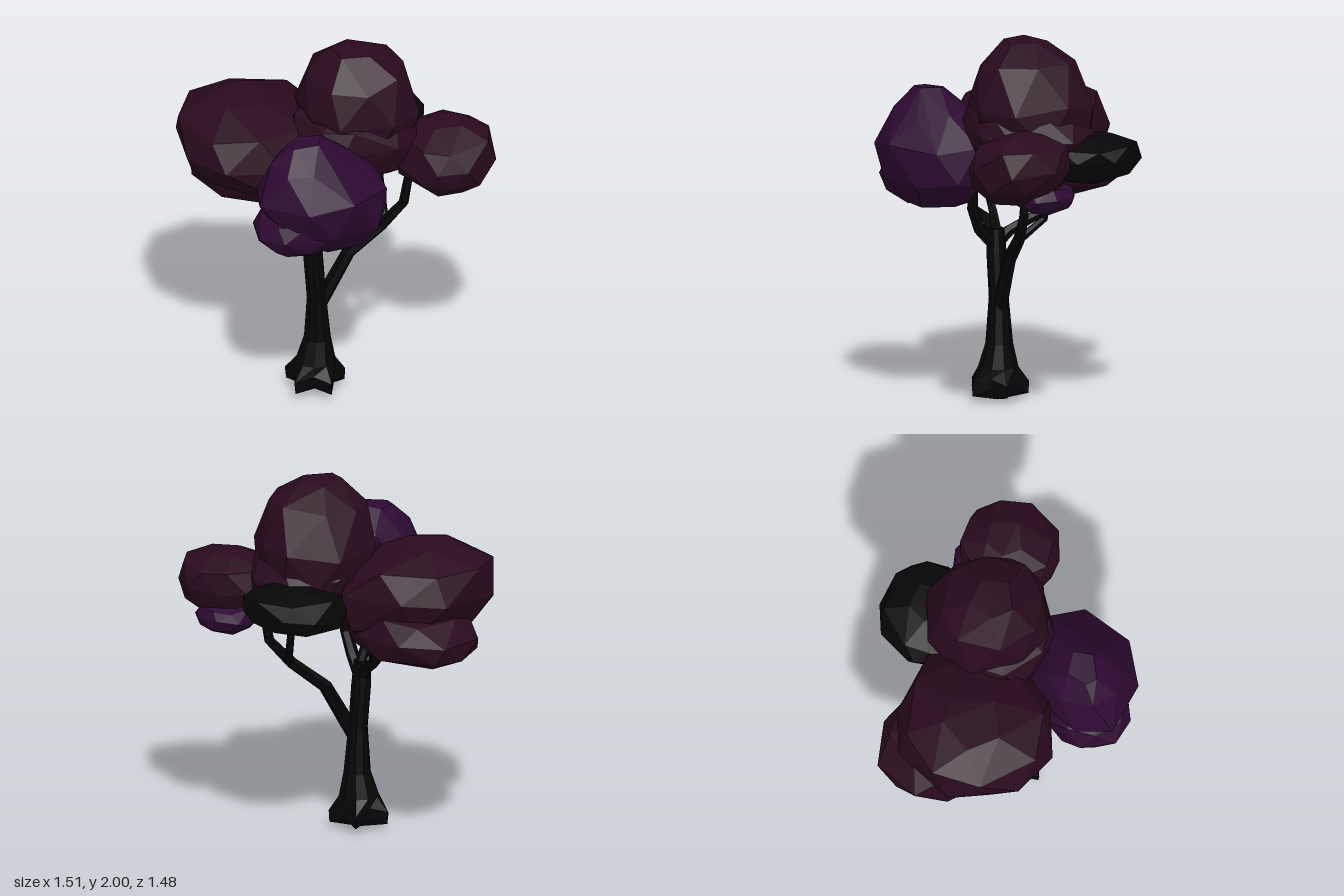
import * as THREE from 'three';
import { ConvexGeometry } from 'three/addons/geometries/ConvexGeometry.js';

const material = (name, color) =>
  new THREE.MeshStandardMaterial({ name, color, flatShading: true });

// Small repeatable random generator
function seeded(seed) {
  let s = seed;
  return () => (s = (s * 16807) % 2147483647) / 2147483647;
}

// Height and width of each ring of a leaf clump, as fractions of its radii
const CLUMP_PROFILE = [[-1, 0.48], [-0.55, 0.87], [0, 1], [0.6, 0.83], [1, 0.36]];

// Faceted leaf clump: hull of jittered rings; lean shifts the top in x and z,
// taper scales the width of the upper rings
function clumpGeometry([cx, cy, cz], [rx, ry, rz], [leanX, leanZ], taper, seed) {
  const random = seeded(seed * 7919 + 13);
  const points = [];
  CLUMP_PROFILE.forEach(([t, width], row) => {
    const isEnd = Math.abs(t) === 1;
    const count = isEnd ? 5 : 8;
    const ringWidth = t > 0 ? width * taper : width;
    for (let i = 0; i < count; i++) {
      const angle = ((i + row * 0.5 + (random() - 0.5) * 0.4) / count) * Math.PI * 2;
      const k = ringWidth * (0.98 + random() * 0.08);
      const lift = isEnd ? -t * random() * 0.08 : (random() - 0.5) * 0.2;
      points.push(new THREE.Vector3(
        cx + leanX * t + Math.cos(angle) * k * rx,
        cy + (t + lift) * ry,
        cz + leanZ * t + Math.sin(angle) * k * rz));
    }
  });
  return new ConvexGeometry(points);
}

// Six-sided limb along a path, narrowing from one radius to the other
function limbGeometry(startRadius, endRadius, path) {
  const n = path.length - 1;
  const geometry = new THREE.CylinderGeometry(1, 1, 1, 6, n);
  const centres = path.map(([x, y, z]) => new THREE.Vector3(x, y, z));
  const up = new THREE.Vector3(0, 1, 0);
  const turns = centres.map((_, i) => {
    const along = centres[Math.min(i + 1, n)].clone().sub(centres[Math.max(i - 1, 0)]);
    return new THREE.Quaternion().setFromUnitVectors(up, along.normalize());
  });
  const p = geometry.attributes.position;
  const v = new THREE.Vector3();
  for (let i = 0; i < p.count; i++) {
    const row = Math.round((p.getY(i) + 0.5) * n);
    v.set(p.getX(i), 0, p.getZ(i));
    v.multiplyScalar(THREE.MathUtils.lerp(startRadius, endRadius, row / n));
    v.applyQuaternion(turns[row]).add(centres[row]);
    p.setXYZ(i, v.x, v.y, v.z);
  }
  geometry.computeVertexNormals();
  return geometry;
}

// Trunk whose two lowest rings spread into five pointed roots
function trunkGeometry() {
  // Rings: x, y, radius
  const rings = [
    [-0.15, 0, 0.145], [-0.152, 0.1, 0.15], [-0.145, 0.18, 0.108], [-0.135, 0.31, 0.074],
    [-0.14, 0.56, 0.053], [-0.16, 0.8, 0.054], [-0.165, 0.93, 0.045],
  ];
  const sides = 10;
  const n = rings.length - 1;
  const geometry = new THREE.CylinderGeometry(1, 1, 1, sides, n);
  const p = geometry.attributes.position;
  for (let i = 0; i < p.count; i++) {
    const row = Math.round((p.getY(i) + 0.5) * n);
    let [x, y, r] = rings[row];
    const px = p.getX(i);
    const pz = p.getZ(i);
    if (row < 2 && Math.hypot(px, pz) > 0.5) {
      const step = Math.round((Math.atan2(px, pz) / (Math.PI * 2)) * sides + sides) % sides;
      const isTip = step % 2 === 0;
      r *= isTip ? 1.13 : 0.76;
      if (row === 0) y = isTip ? 0.035 : 0.07;
      else y += isTip ? 0 : 0.03;
    }
    p.setXYZ(i, x + px * r, y, 0.128 + pz * r);
  }
  geometry.computeVertexNormals();
  return geometry;
}

export function createModel() {
  const model = new THREE.Group();
  model.name = 'tree';
  const bark = material('dark bark', 0x050505);
  const maroon = material('maroon leaves', 0x290a1d);
  const purple = material('purple leaves', 0x2d0931);
  const black = material('black leaves', 0x050605);

  const add = (name, geometry, mat) => {
    const mesh = new THREE.Mesh(geometry, mat);
    mesh.name = name;
    model.add(mesh);
  };
  const limb = (name, r0, r1, ...path) => add(name, limbGeometry(r0, r1, path), bark);
  const clump = (name, mat, centre, radii, lean, taper) =>
    add(name, clumpGeometry(centre, radii, lean, taper, model.children.length), mat);

  add('trunk', trunkGeometry(), bark);

  // Branches and twigs
  limb('leftBranch', 0.042, 0.022, [-0.13, 0.5, 0.13], [0.03, 0.8, 0.18],
    [0.2, 0.94, 0.24], [0.31, 1.07, 0.29], [0.35, 1.3, 0.3]);
  limb('leftTwig', 0.024, 0.018, [0.22, 0.95, 0.24], [0.275, 1.05, 0.13], [0.28, 1.32, 0.07]);
  limb('rightBranch', 0.035, 0.018, [-0.16, 0.88, 0.13], [-0.25, 0.97, 0.13],
    [-0.38, 1.01, 0.13], [-0.4, 1.2, 0.13]);
  limb('frontBranch', 0.037, 0.028, [-0.16, 0.84, 0.14], [-0.165, 0.94, 0.24],
    [-0.155, 1.05, 0.29], [-0.15, 1.2, 0.29]);
  limb('backBranch', 0.035, 0.026, [-0.16, 0.85, 0.12], [-0.15, 0.91, 0.05],
    [-0.1, 1, -0.13], [-0.05, 1.2, -0.21]);
  limb('backTwig', 0.021, 0.017, [-0.11, 0.99, -0.11], [-0.18, 1.06, -0.13], [-0.26, 1.2, -0.15]);
  limb('middleTwig', 0.03, 0.018, [-0.16, 0.92, 0.13], [-0.19, 1.02, 0.13], [-0.27, 1.15, 0.12]);

  // Leaf clumps: centre, radii, lean of the top, taper of the top
  clump('topCrown', maroon, [0.13, 1.65, 0.115], [0.33, 0.35, 0.34], [-0.04, 0.01], 0.98);
  clump('crownSkirt', maroon, [0.115, 1.5, 0.13], [0.39, 0.23, 0.34], [-0.03, 0], 1);
  clump('backCrown', maroon, [-0.31, 1.42, -0.2], [0.45, 0.26, 0.43], [-0.06, -0.05], 1.02);
  clump('lowerBackCrown', maroon, [-0.24, 1.235, -0.29], [0.34, 0.175, 0.45], [0.02, 0.05], 1);
  clump('rightCrown', purple, [-0.31, 1.4, 0.43], [0.36, 0.31, 0.3], [-0.08, -0.03], 0.78);
  clump('lowerRightCrown', purple, [-0.445, 1.21, 0.41], [0.24, 0.14, 0.24], [0, 0], 1);
  clump('leftCrown', maroon, [0.475, 1.39, 0.44], [0.27, 0.19, 0.28], [0.02, -0.02], 1.06);
  clump('lowerLeftCrown', purple, [0.55, 1.24, 0.33], [0.16, 0.09, 0.18], [0, 0], 1);
  clump('backLeftCrown', black, [0.36, 1.375, -0.1], [0.29, 0.13, 0.29], [0.03, 0], 1.06);

  return model;
}
